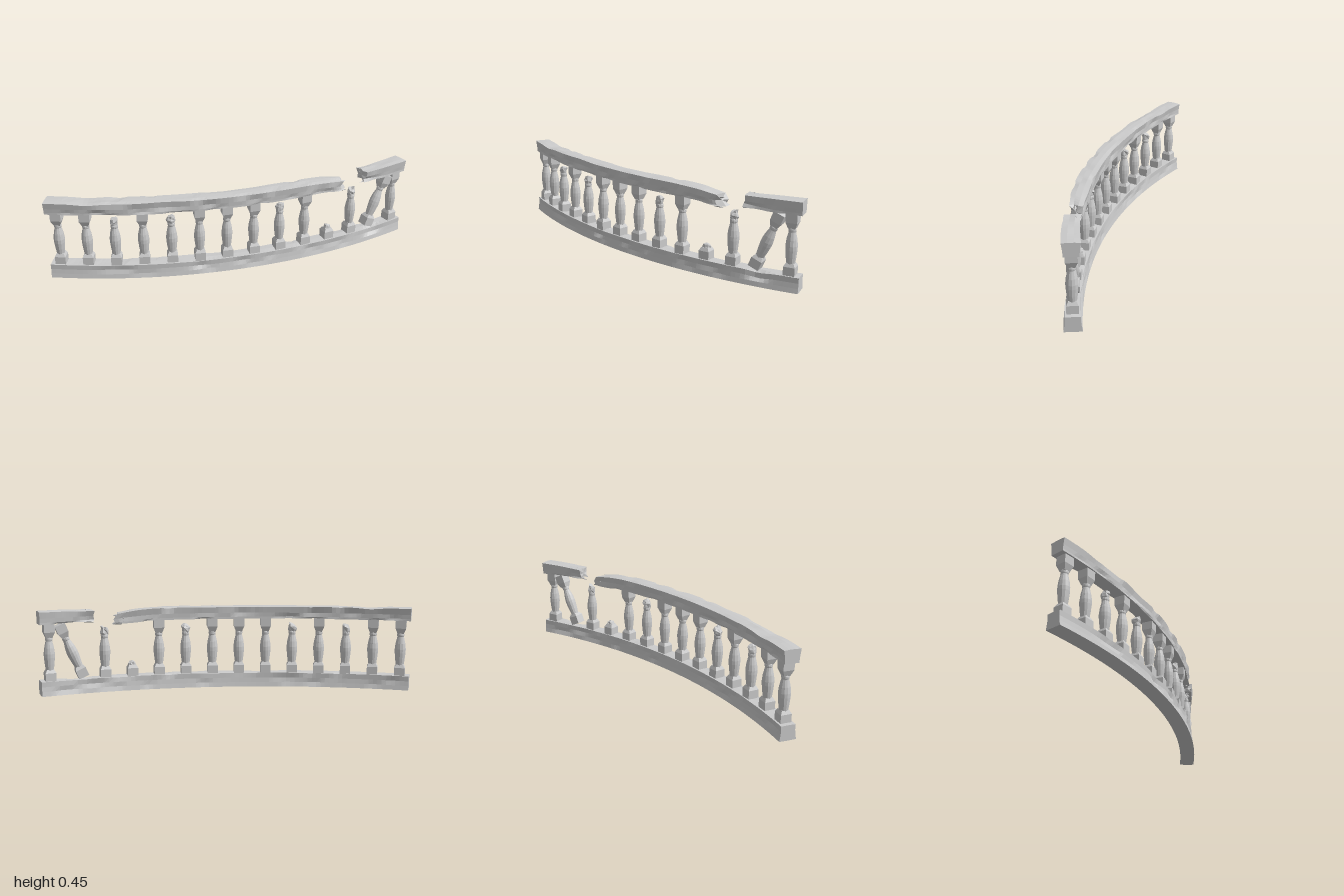
import * as THREE from 'three';

const R = 2.85, ZC = 0.085 - R;      // plan arc of the balustrade
const END = 0.353;                   // half angle of the arc
const mat = new THREE.MeshStandardMaterial({ color: 0xcccccc, flatShading: true });

// seeded hash and 1D value noise, 0..1
const hash = (n) => { const s = Math.sin(n * 127.1 + 11.7) * 43758.5453; return s - Math.floor(s); };
function noise(t) {
  const i = Math.floor(t), f = t - i, u = f * f * (3 - 2 * f);
  return hash(i) * (1 - u) + hash(i + 1) * u;
}
const bump = (x, c, w) => Math.exp(-(((x - c) / w) ** 2));

function mesh(geo, name, parent) {
  const m = new THREE.Mesh(geo, mat);
  m.name = name;
  parent.add(m);
  return m;
}

// Skin a row of closed loops and cap both ends
function loft(rings) {
  const n = rings[0].length, pos = [], idx = [];
  rings.forEach((r) => r.forEach((p) => pos.push(p.x, p.y, p.z)));
  for (let i = 0; i < rings.length - 1; i++) {
    for (let j = 0; j < n; j++) {
      const a = i * n + j, b = i * n + (j + 1) % n;
      idx.push(a, b, a + n, b, b + n, a + n);
    }
  }
  [0, rings.length - 1].forEach((k) => {
    const c = new THREE.Vector3();
    rings[k].forEach((p) => c.addScaledVector(p, 1 / n));
    const ci = pos.length / 3;
    pos.push(c.x, c.y, c.z);
    for (let j = 0; j < n; j++) {
      const a = k * n + j, b = k * n + (j + 1) % n;
      if (k) idx.push(ci, a, b); else idx.push(ci, b, a);
    }
  });
  const g = new THREE.BufferGeometry();
  g.setAttribute('position', new THREE.Float32BufferAttribute(pos, 3));
  g.setIndex(idx);
  g.computeVertexNormals();
  return g;
}

// Sweep an (offset, height) section along the arc; shape(x, j, point) adds the wear
function sweep(section, t0, t1, steps, shape) {
  const rings = [];
  for (let i = 0; i <= steps; i++) {
    const t = t0 + (t1 - t0) * i / steps;
    rings.push(section.map(([o, y], j) => {
      const p = { o, y, t };
      shape(R * Math.sin(t), j, p);
      return new THREE.Vector3((R + p.o) * Math.sin(p.t), p.y, ZC + (R + p.o) * Math.cos(p.t));
    }));
  }
  return loft(rings);
}

// Pull a point towards the section centre by chips of noise, fading out at the clean ends
function chip(x, j, p, midY, depth) {
  const fade = 1 - Math.min(1, bump(x, -1, 0.08) + bump(x, 1, 0.08));
  const k = Math.max(0, noise(x * 13 + j * 37.3) - 0.5) * depth * fade;
  p.o *= 1 - k;
  p.y += (midY - p.y) * k * 0.6;
}

// Sections run top, front, bottom, back
const railSection = [[-0.043, 0.443], [-0.015, 0.445], [0.015, 0.445], [0.043, 0.443], [0.038, 0.41],
  [0.036, 0.388], [0.036, 0.377], [0, 0.377], [-0.036, 0.377], [-0.036, 0.388], [-0.038, 0.41]];
const baseSection = [[-0.037, 0.077], [0, 0.078], [0.037, 0.077], [0.036, 0.05], [0.039, 0.025],
  [0.043, 0.001], [0, 0], [-0.043, 0.001], [-0.039, 0.025], [-0.036, 0.05]];

// Square block built from (half width, height) pairs
function block(profile, name, parent) {
  const pts = profile.map(([h, y]) => new THREE.Vector2(h * Math.SQRT2, y));
  return mesh(new THREE.LatheGeometry(pts, 4, Math.PI / 4), name, parent);
}

// Rough broken stone: a lathe whose upper points are shifted by a position hash
function rubble(profile, name, parent, seed, fromY) {
  const g = new THREE.LatheGeometry(profile.map(([r, y]) => new THREE.Vector2(r, y)), 7);
  const p = g.attributes.position;
  for (let i = 0; i < p.count; i++) {
    const x = p.getX(i), y = p.getY(i), z = p.getZ(i);
    if (y < fromY) continue;
    const k = Math.round(x * 1000) * 1.3 + Math.round(z * 1000) * 2.7 + Math.round(y * 1000) * 0.9 + seed;
    p.setXYZ(i, x * (0.75 + hash(k) * 0.5), y + (hash(k + 5) - 0.5) * 0.014 + x * 0.25, z * (0.75 + hash(k + 9) * 0.5));
  }
  return mesh(g, name, parent);
}

const bodyProfile = [[0.021, 0.132], [0.0255, 0.165], [0.029, 0.2], [0.0295, 0.22], [0.026, 0.25],
  [0.019, 0.28], [0.0175, 0.287], [0.0195, 0.293], [0.0195, 0.302], [0.017, 0.308]];

// kind: whole, broken (no cap) or stub (foot only)
function baluster(kind, seed) {
  const g = new THREE.Group();
  g.name = kind + 'Baluster';
  block([[0, 0.072], [0.028, 0.072], [0.028, 0.119], [0.019, 0.136], [0, 0.136]], 'foot', g);
  if (kind === 'stub') {
    rubble([[0.021, 0.125], [0.021, 0.138], [0.015, 0.15], [0, 0.154]], 'brokenStump', g, seed, 0.137);
    return g;
  }
  mesh(new THREE.LatheGeometry(bodyProfile.map(([r, y]) => new THREE.Vector2(r, y)), 12), 'shaft', g);
  if (kind === 'broken') {
    rubble([[0.017, 0.3], [0.021, 0.316], [0.023, 0.331], [0.017, 0.345], [0, 0.349]], 'brokenTop', g, seed, 0.31);
  } else {
    block([[0, 0.303], [0.016, 0.303], [0.028, 0.334], [0.028, 0.381], [0, 0.381]], 'cap', g);
  }
  return g;
}

export function createModel() {
  const model = new THREE.Group();
  model.name = 'brokenBalustrade';

  // Curved base with chipped edges and a deeper gouge near one end
  mesh(sweep(baseSection, -END, END, 84, (x, j, p) => {
    if (j === 5 || j === 6 || j === 7) return;
    chip(x, j, p, 0.04, 0.36);
    if (j === 2 || j === 3) {
      const gouge = bump(x, 0.8, 0.05) + 0.5 * bump(x, -0.2, 0.07);
      p.o -= 0.015 * gouge;
      p.y -= 0.012 * gouge;
    }
  }), 'base', model);

  // Long handrail, sagging to a jagged break
  const breakT = Math.asin(0.595 / R);
  mesh(sweep(railSection, -END, breakT, 72, (x, j, p) => {
    chip(x, j, p, 0.41, 0.4);
    const sag = Math.max(0, (x - 0.3) / 0.3);
    p.y -= 0.022 * sag * sag;
    if (j < 4) p.y -= 0.007 * bump(x, -0.78, 0.06);
    if (j === 3 || j === 4) p.o -= 0.01 * bump(x, -0.4, 0.1);
    const tip = Math.max(0, (x - 0.5) / 0.095);
    p.o *= 1 - 0.3 * tip * hash(j + 3);
    p.y += (0.385 - p.y) * 0.25 * tip * hash(j + 20);
    p.t += tip * (hash(j + 41) - 0.6) * 0.022;
  }), 'longHandrail', model);

  // Short handrail beyond the gap
  mesh(sweep(railSection, Math.asin(0.72 / R), END, 24, (x, j, p) => {
    chip(x, j, p, 0.415, 0.35);
    const tip = Math.max(0, (0.87 - x) / 0.15);
    p.o *= 1 - 0.4 * tip * hash(j + 61);
    p.y += (0.418 - p.y) * 0.35 * tip * hash(j + 72);
    p.t -= tip * (hash(j + 83) - 0.55) * 0.016;
  }), 'shortHandrail', model);

  // Splinters at both faces of the break: [x, y, offset, length]
  [[0.585, 0.36, 0.015, 0.05], [0.58, 0.385, -0.02, 0.055], [0.59, 0.405, 0.005, 0.04],
    [0.725, 0.378, 0.01, -0.06], [0.73, 0.43, -0.015, -0.045]].forEach(([x, y, o, len], i) => {
    const t = Math.asin(x / R);
    const s = mesh(new THREE.ConeGeometry(0.013, Math.abs(len), 4), 'splinter', model);
    s.position.set((R + o) * Math.sin(t), y, ZC + (R + o) * Math.cos(t));
    s.rotation.set(0, t, -Math.sign(len) * (Math.PI / 2 + (hash(i + 7) - 0.3) * 0.5));
  });

  // Fourteen evenly spaced balusters; some damaged, one fallen sideways
  const kinds = { 2: 'broken', 4: 'broken', 8: 'broken', 10: 'stub', 11: 'broken' };
  for (let i = 0; i < 14; i++) {
    const leaning = i === 12;
    const t = leaning ? Math.asin(0.768 / R) : (i - 6.5) * 0.0515;
    const holder = new THREE.Group();
    holder.name = leaning ? 'leaningBaluster' : 'balusterPlace';
    holder.position.set(R * Math.sin(t), 0, ZC + R * Math.cos(t));
    holder.rotation.y = t;
    const b = baluster(kinds[i] || 'whole', i * 3.1);
    if (leaning) {
      b.rotation.z = -0.4;
      b.position.set(-0.072 * Math.sin(0.4), 0.086 - 0.072 * Math.cos(0.4), 0);
    }
    holder.add(b);
    model.add(holder);
  }
  return model;
}
